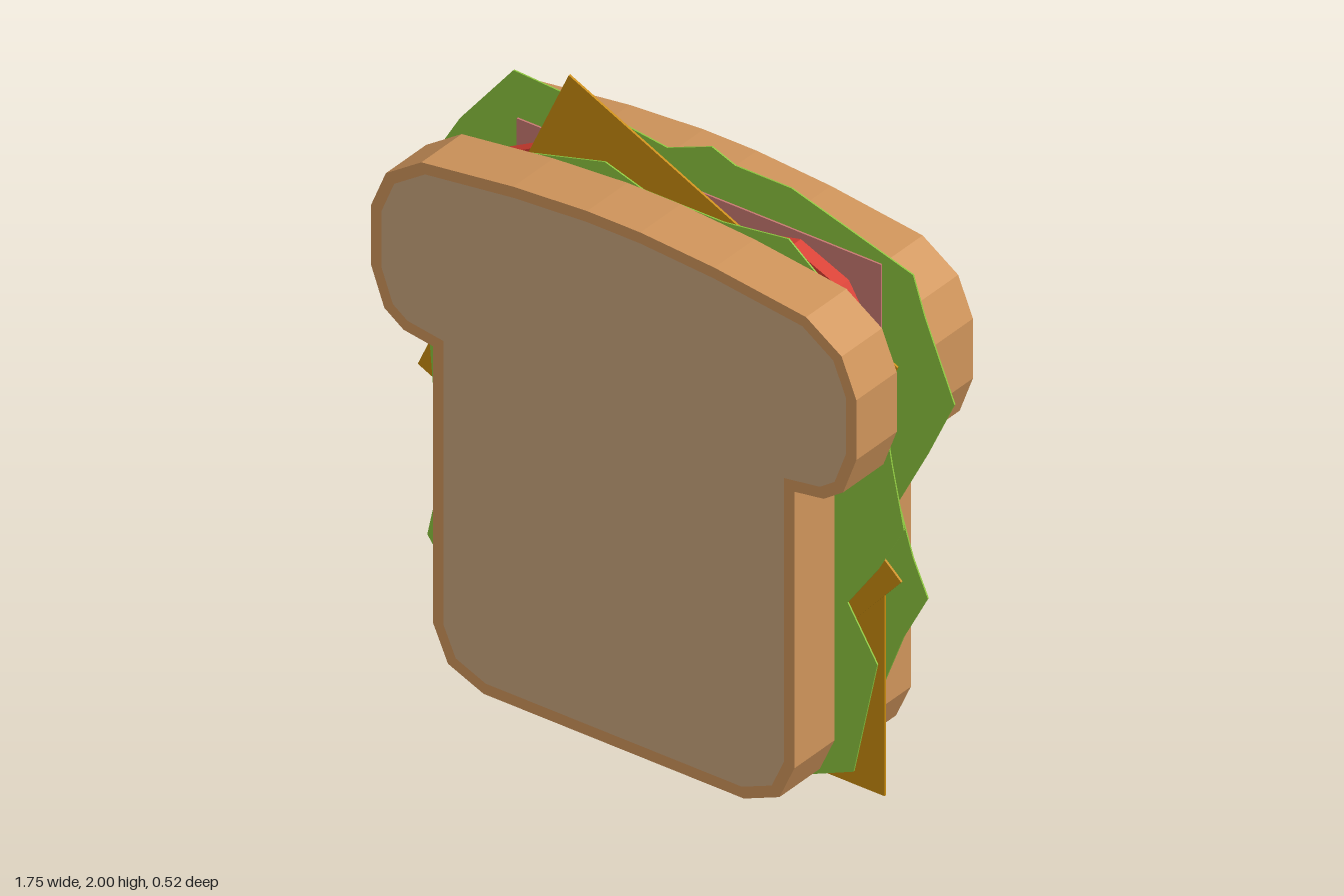
import * as THREE from 'three';

const mat = (color) => new THREE.MeshStandardMaterial({ color, flatShading: true });
const crustMat = mat(0xd0955b);
const crumbMat = mat(0xc9a57d);
const lettuceMat = mat(0x8dc63f);
const cheeseMat = mat(0xc98c0e);
const tomatoMat = mat(0xd83f33);
const hamMat = mat(0xc97a72);

const vectors = (pts) => pts.map(([x, y]) => new THREE.Vector2(x, y));

// Flat slab of any outline, from z0 to z1
function slab(name, points, z0, z1, material, hole) {
  const shape = new THREE.Shape(points);
  if (hole) shape.holes.push(new THREE.Path(hole));
  const geo = new THREE.ExtrudeGeometry(shape, { depth: z1 - z0, bevelEnabled: false });
  geo.translate(0, 0, z0);
  const mesh = new THREE.Mesh(geo, material);
  mesh.name = name;
  return mesh;
}

// Move every edge of a counter-clockwise outline inwards by d
function inset(points, d) {
  return points.map((p, i) => {
    const a = points[(i + points.length - 1) % points.length];
    const b = points[(i + 1) % points.length];
    const e1 = p.clone().sub(a).normalize();
    const e2 = b.clone().sub(p).normalize();
    const n1 = new THREE.Vector2(-e1.y, e1.x);
    const n2 = new THREE.Vector2(-e2.y, e2.x);
    const m = n1.clone().add(n2);
    return p.clone().addScaledVector(m, d / (1 + n1.dot(n2)));
  });
}

// Square given by one corner, a neighbouring corner; the rest lies clockwise of that edge
function square(a, b, side) {
  const d = new THREE.Vector2(b[0] - a[0], b[1] - a[1]);
  const n = new THREE.Vector2(-d.y, d.x).multiplyScalar(side);
  return [a, b, [b[0] + n.x, b[1] + n.y], [a[0] + n.x, a[1] + n.y]];
}

export function createModel() {
  const group = new THREE.Group();
  group.name = 'sandwich';

  // Bread slices: mirrored half outline, crust ring around a crumb core
  const half = [[0.44, 0.12], [0.56, 0.17], [0.61, 0.28], [0.61, 1.16], [0.71, 1.175], [0.775, 1.22],
    [0.82, 1.34], [0.82, 1.53], [0.77, 1.65], [0.65, 1.73], [0.34, 1.77], [0.09, 1.787]];
  const cx = -0.03;
  const outline = vectors([
    ...half.map(([x, y]) => [cx + x, y]),
    ...half.slice().reverse().map(([x, y]) => [cx - x, y]),
  ]);
  const core = inset(outline, 0.035);
  for (const [name, z] of [['frontBread', 0.08], ['backBread', -0.26]]) {
    const bread = new THREE.Group();
    bread.name = name;
    bread.add(slab('crust', outline, z, z + 0.18, crustMat, core));
    bread.add(slab('crumb', core, z, z + 0.18, crumbMat));
    group.add(bread);
  }

  // Lettuce leaves with ragged edges
  const frontLeaf = [[-0.56, 0.085], [-0.15, 0.085], [-0.12, 0.11], [0.12, 0.11], [0.27, 0.04], [0.64, 0.2],
    [0.72, 0.57], [0.62, 0.73], [0.72, 0.87], [0.81, 1.03], [0.77, 1.22], [0.72, 1.5], [0.56, 1.7],
    [0.42, 1.81], [0.2, 1.78], [-0.07, 1.78], [-0.2, 1.82], [-0.5, 1.74], [-0.7, 1.68], [-0.76, 1.5],
    [-0.81, 1.24], [-0.77, 0.76], [-0.73, 0.73], [-0.8, 0.41]];
  const backLeaf = [[-0.26, 0.01], [-0.13, 0.07], [0.15, 0], [0.24, 0.08], [0.56, 0.2], [0.63, 0.4],
    [0.7, 0.58], [0.78, 0.73], [0.73, 0.84], [0.68, 1.0], [0.78, 1.19], [0.87, 1.38], [0.77, 1.62],
    [0.73, 1.74], [0.32, 1.86], [0.13, 1.86], [0.05, 1.89], [-0.1, 1.83], [-0.42, 1.87], [-0.62, 1.88],
    [-0.8, 1.66], [-0.86, 1.56], [-0.8, 1.3], [-0.72, 1.0], [-0.75, 0.68], [-0.66, 0.4], [-0.5, 0.15]];
  group.add(slab('frontLettuce', vectors(frontLeaf), 0.07, 0.075, lettuceMat));
  group.add(slab('backLettuce', vectors(backLeaf), -0.076, -0.071, lettuceMat));

  // Ham slice
  group.add(slab('ham', vectors([[-0.6, 0.075], [0.63, 0.075], [0.63, 1.74], [-0.6, 1.74]]),
    -0.066, -0.06, hamMat));

  // Cheese slices, each turned differently
  const cheeses = [
    [[[-0.66, 0.105], [0.69, 0.105], [0.69, 1.45], [-0.66, 1.45]], -0.004],
    [square([-0.37, 2], [-0.88, 0.89], 1), 0.005],
    [square([0.06, 0.03], [0.76, 0.82], 1), 0.014],
  ];
  cheeses.forEach(([pts, z]) => group.add(slab('cheese', vectors(pts), z, z + 0.007, cheeseMat)));

  // Tomato slices in two layers of two columns
  const layers = [
    { z: -0.032, r: 0.285, cols: [-0.43, 0.34], rows: [0.37, 0.91, 1.44] },
    { z: 0.043, r: 0.25, cols: [-0.38, 0.33], rows: [0.35, 0.84, 1.35] },
  ];
  for (const { z, r, cols, rows } of layers) {
    const disc = new THREE.CylinderGeometry(r, r, 0.045, 10).rotateX(Math.PI / 2);
    cols.forEach((x, c) => rows.forEach((y, i) => {
      const tomato = new THREE.Mesh(disc, tomatoMat);
      tomato.name = 'tomato';
      tomato.position.set(x, y, z);
      tomato.rotation.z = i * 0.4 + c;
      group.add(tomato);
    }));
  }
  return group;
}
